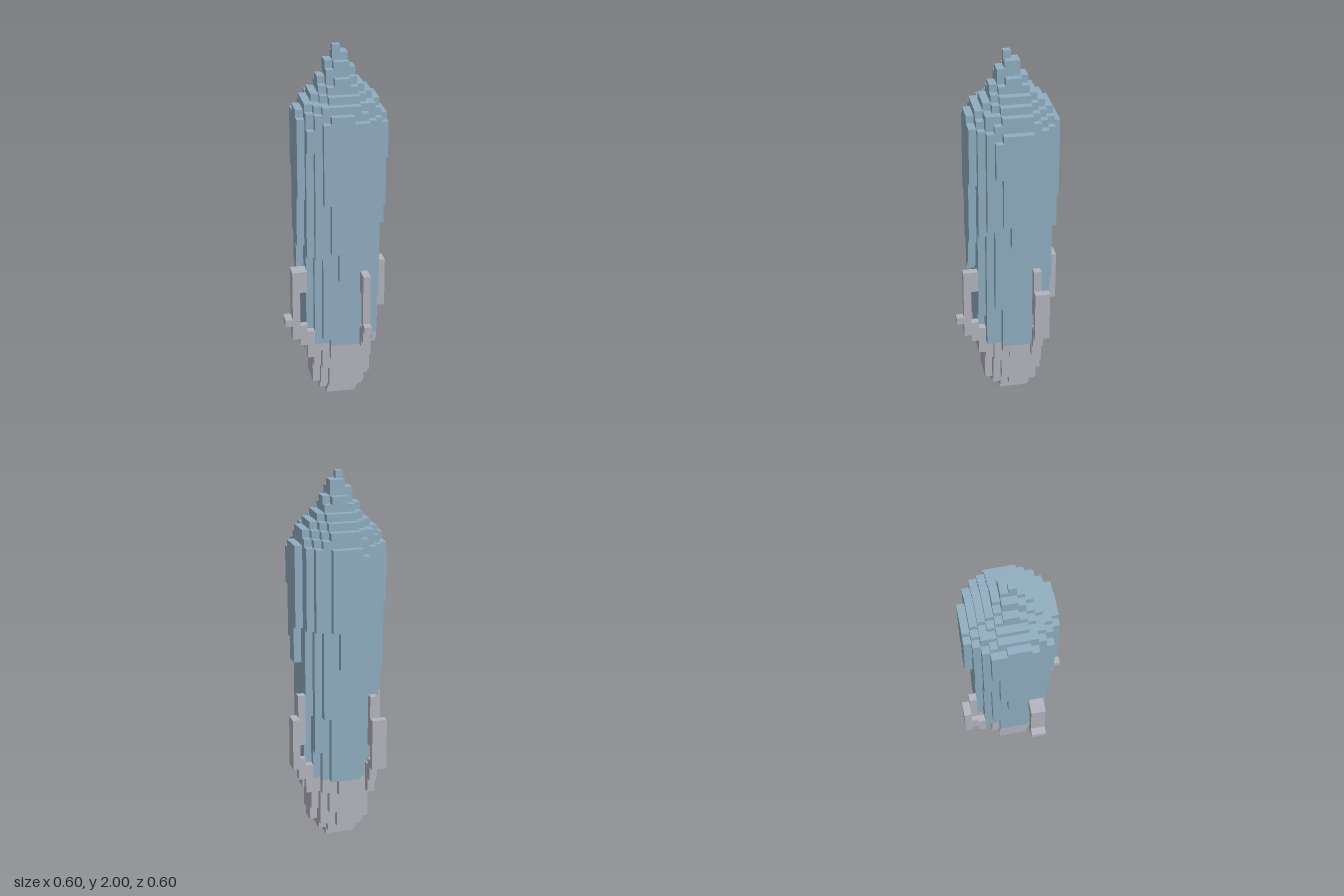
import * as THREE from 'three';
import { mergeGeometries } from 'three/addons/utils/BufferGeometryUtils.js';

const V = 0.04;                       // block size
const AXIS = { x: 0.015, z: -0.015 }; // hull axis
const SEAM = 0.36;                    // height where the base meets the hull

// Hull radius by height: [y, radius]
const PROFILE = [
  [0.02, 0.093], [0.06, 0.125], [0.10, 0.15], [0.26, 0.174], [0.30, 0.188], [0.38, 0.199],
  [0.78, 0.2158], [1.5, 0.2478], [1.58, 0.248], [1.62, 0.24], [1.66, 0.222], [1.70, 0.2],
  [1.74, 0.16], [1.78, 0.125], [1.82, 0.1], [1.86, 0.08], [1.90, 0.062], [1.94, 0.045], [1.98, 0.025],
];

function radiusAt(y) {
  for (let i = 1; i < PROFILE.length; i++) {
    const [y0, r0] = PROFILE[i - 1], [y1, r1] = PROFILE[i];
    if (y <= y1 + 1e-6) return r0 + (r1 - r0) * (y - y0) / (y1 - y0);
  }
  return 0;
}

function block(x0, x1, y0, y1, z0, z1) {
  const g = new THREE.BoxGeometry(x1 - x0, y1 - y0, z1 - z0);
  return g.translate((x0 + x1) / 2, (y0 + y1) / 2, (z0 + z1) / 2);
}

function mesh(name, blocks, material) {
  const m = new THREE.Mesh(mergeGeometries(blocks), material);
  m.name = name;
  return m;
}

export function createModel() {
  const blue = new THREE.MeshStandardMaterial({ color: 0x8fadc0 });
  blue.name = 'steel blue';
  const gray = new THREE.MeshStandardMaterial({ color: 0xb2b3bd });
  gray.name = 'light gray';
  const group = new THREE.Group();
  group.name = 'blockRocket';

  // Hull and base: one upright bar of blocks for each grid cell
  const hull = [], base = [];
  for (let i = -7; i <= 7; i++) {
    for (let k = -7; k <= 7; k++) {
      const x = i * V, z = k * V;
      const r = Math.hypot(x - AXIS.x, z - AXIS.z);
      let lo = -1, hi = -1;
      for (let j = 0; j < 50; j++) {
        if (r > radiusAt((j + 0.5) * V)) continue;
        if (lo < 0) lo = j * V;
        hi = (j + 1) * V;
      }
      if (lo < 0) continue;
      const bar = (y0, y1) => block(x - V / 2, x + V / 2, y0, y1, z - V / 2, z + V / 2);
      if (lo < SEAM - 1e-6) base.push(bar(lo, Math.min(hi, SEAM)));
      if (hi > SEAM + 1e-6) hull.push(bar(Math.max(lo, SEAM), hi));
    }
  }
  group.add(mesh('hull', hull, blue), mesh('base', base, gray));

  // Hooked fins, drawn on the -x side and turned around the hull
  const hookFin = w => [
    block(-0.26, -0.22, 0.40, 0.80, w, 0.14),
    block(-0.22, -0.18, 0.68, 0.80, w, 0.14),
    block(-0.30, -0.26, 0.48, 0.52, w, 0.14),
    block(-0.22, -0.18, 0.36, 0.48, 0.10, 0.14),
    block(-0.18, -0.14, 0.28, 0.44, 0.10, 0.14),
  ];
  const broadFin = () => [
    block(-0.26, -0.22, 0.56, 0.84, 0.10, 0.14),
    block(-0.30, -0.26, 0.44, 0.72, 0.10, 0.18),
    block(-0.26, -0.22, 0.36, 0.48, 0.10, 0.14),
    block(-0.22, -0.18, 0.28, 0.44, 0.10, 0.14),
  ];
  const fins = [
    ['rightFin', hookFin(0.06)], ['frontFin', hookFin(0.10)],
    ['leftFin', broadFin()], ['backFin', broadFin()],
  ];
  fins.forEach(([name, blocks], n) => {
    const fin = mesh(name, blocks, gray);
    fin.rotation.y = n * Math.PI / 2;
    group.add(fin);
  });

  return group;
}
